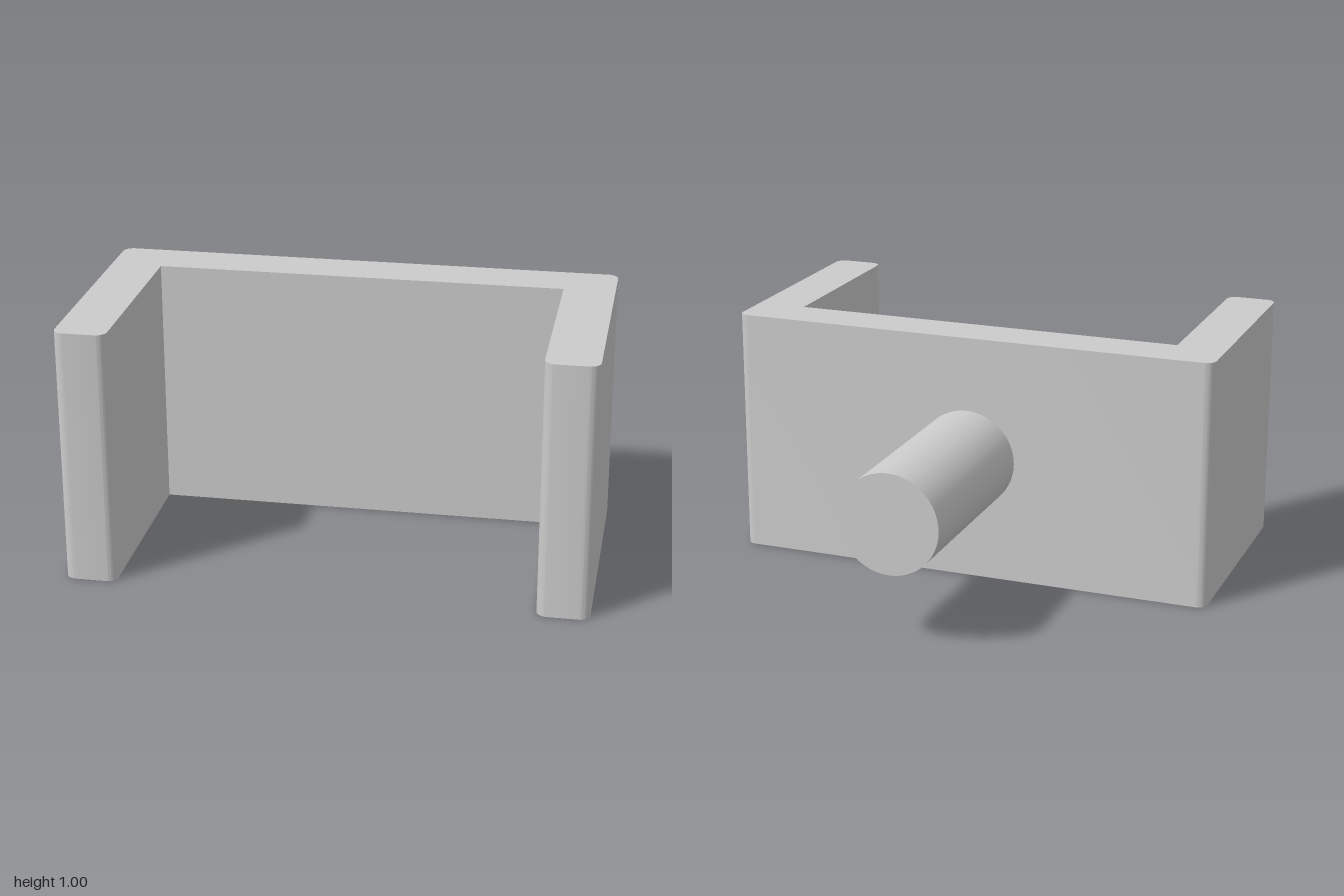
import * as THREE from 'three';
import { toCreasedNormals } from 'three/addons/utils/BufferGeometryUtils.js';

// Closed outline; each point is [x, y, corner radius]
function roundedOutline(points) {
  const shape = new THREE.Shape();
  const n = points.length;
  points.forEach(([x, y, r], i) => {
    const p = new THREE.Vector2(x, y);
    const toward = ([qx, qy]) => new THREE.Vector2(qx, qy).sub(p).setLength(r).add(p);
    const a = toward(points[(i + n - 1) % n]);
    const b = toward(points[(i + 1) % n]);
    if (i === 0) shape.moveTo(a.x, a.y);
    else shape.lineTo(a.x, a.y);
    if (r > 0) {
      // centre of the corner arc, on a right-angled corner
      const c = a.clone().add(b).sub(p);
      const start = Math.atan2(a.y - c.y, a.x - c.x);
      const end = Math.atan2(b.y - c.y, b.x - c.x);
      shape.absarc(c.x, c.y, r, start, end, false);
    }
  });
  shape.closePath();
  return shape;
}

export function createModel() {
  const model = new THREE.Group();
  model.name = 'bracketWithPeg';
  const material = new THREE.MeshStandardMaterial({ color: 0xcccccc });

  // U-shaped bracket: plan outline (x, -z), counter-clockwise, raised along y
  const R = 0.04;
  const outline = roundedOutline([
    [-1, 0.1, R], [-1, -0.9, R], [-0.8, -0.9, R], [-0.8, -0.1, 0],
    [0.8, -0.1, 0], [0.8, -0.9, R], [1, -0.9, R], [1, 0.1, R],
  ]);
  const bracketGeometry = new THREE.ExtrudeGeometry(outline, {
    depth: 1, bevelEnabled: false, curveSegments: 8,
  });
  bracketGeometry.rotateX(-Math.PI / 2);
  const bracket = new THREE.Mesh(toCreasedNormals(bracketGeometry, 0.5), material);
  bracket.name = 'bracket';
  model.add(bracket);

  // Round peg out of the middle of the back
  const pegGeometry = new THREE.CylinderGeometry(0.2, 0.2, 0.8, 64);
  pegGeometry.rotateX(Math.PI / 2);
  const peg = new THREE.Mesh(pegGeometry, material);
  peg.name = 'peg';
  peg.position.set(0, 0.5, -0.5);
  model.add(peg);

  return model;
}
